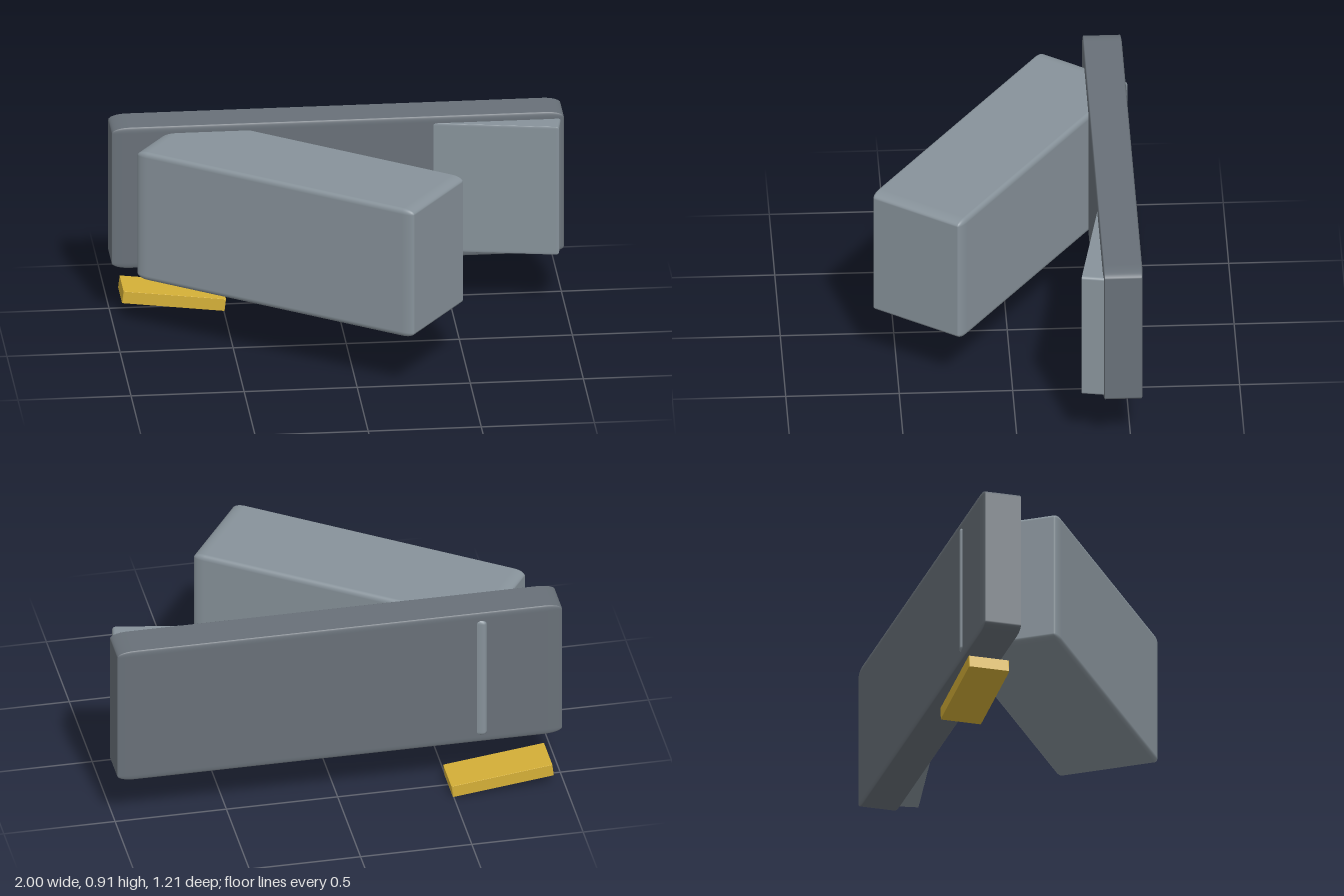
import * as THREE from 'three';
import { RoundedBoxGeometry } from 'three/addons/geometries/RoundedBoxGeometry.js';

const BEVEL = 0.04; // edge rounding as a share of each side

// Block whose edge rounding is proportional to each of its sides
function block(name, color, [w, h, d], [x, y, z], bevel = BEVEL) {
  const geometry = new RoundedBoxGeometry(1, 1, 1, 4, bevel);
  geometry.scale(w, h, d);
  const mesh = new THREE.Mesh(geometry, new THREE.MeshStandardMaterial({ color }));
  mesh.name = name;
  mesh.position.set(x, y, z);
  return mesh;
}

export function createModel() {
  const model = new THREE.Group();
  model.name = 'blockBuilding';
  const darkGrey = 0x687078, lightGrey = 0x87929a, gold = 0xd4af37;
  const deg = THREE.MathUtils.degToRad;

  // Long slab across the back
  const slab = block('backSlab', darkGrey, [2, 0.67, 0.175], [0, 0.575, -0.4635]);

  // Angled wing; its rear corner just breaks through the slab's back
  const wing = block('angledWing', lightGrey, [1.4, 0.61, 0.467], [-0.205, 0.573, 0.02]);
  wing.rotation.y = deg(-35);

  // Thin panel, mostly sunk into the slab
  const panel = block('frontPanel', lightGrey, [0.7, 0.61, 0.125], [0.634, 0.573, -0.402], 0.02);
  panel.rotation.y = deg(-10);

  // Small tilted plate below the slab
  const plate = block('tiltedPlate', gold, [0.457, 0.057, 0.185], [-0.72, 0.057, -0.5125], 0.02);
  plate.rotation.z = deg(-7);

  model.add(slab, wing, panel, plate);
  return model;
}
